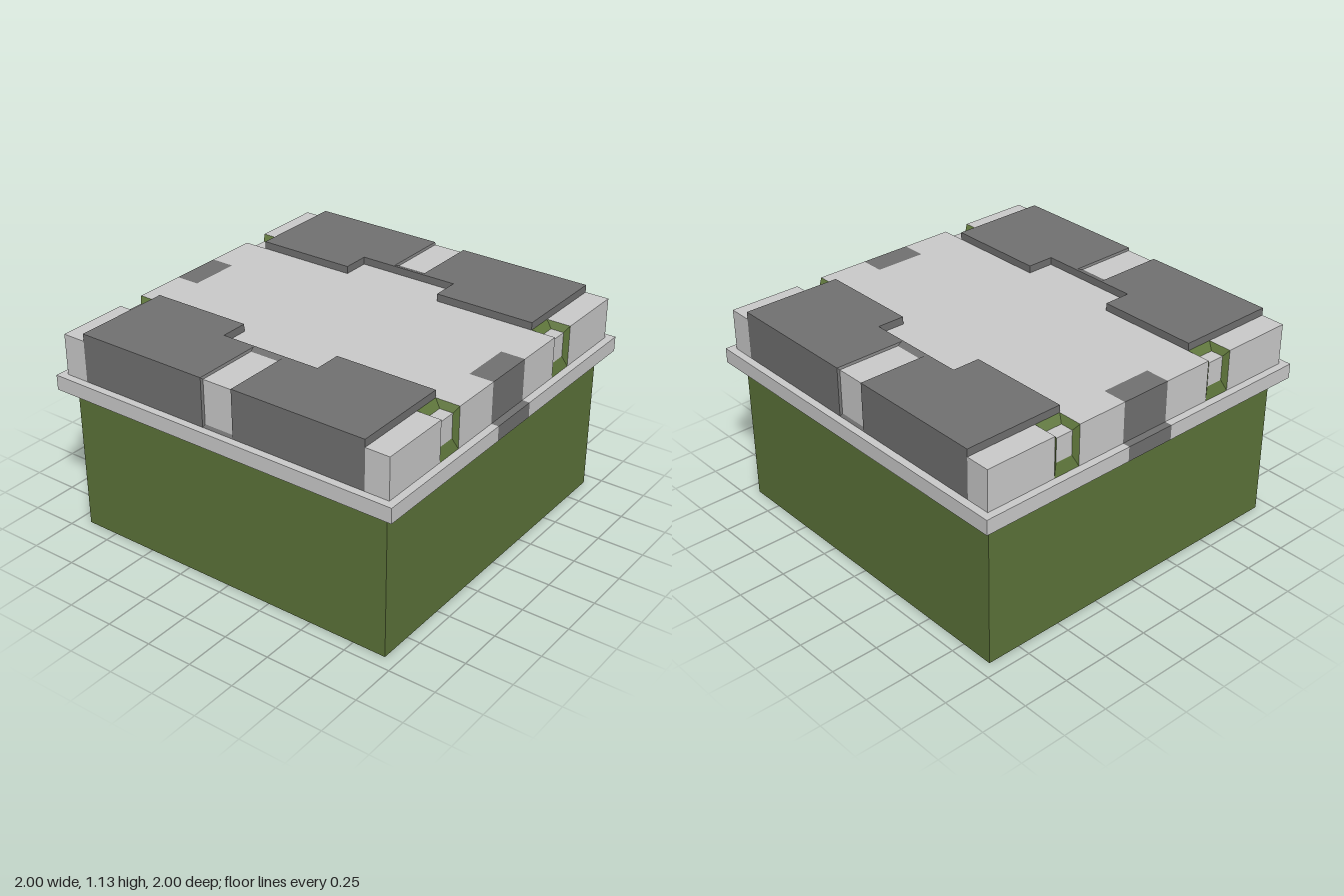
import * as THREE from 'three';

const grey = new THREE.MeshStandardMaterial({ color: 0xcccccc });
const dark = new THREE.MeshStandardMaterial({ color: 0x727272 });
const green = new THREE.MeshStandardMaterial({ color: 0x5d743a });

// Levels
const RIM_Y = 0.79, BLOCK_Y = 0.87, TOP_Y = 1.09, PAD_Y = 1.13;

function add(parent, name, geometry, material) {
  const mesh = new THREE.Mesh(geometry, material);
  mesh.name = name;
  parent.add(mesh);
  return mesh;
}

// Box given by its limits
function box(x0, x1, y0, y1, z0, z1) {
  return new THREE.BoxGeometry(x1 - x0, y1 - y0, z1 - z0)
    .translate((x0 + x1) / 2, (y0 + y1) / 2, (z0 + z1) / 2);
}

// Vertical prism over a plan outline of [x, z] points
function prism(points, y0, y1) {
  const shape = new THREE.Shape(points.map(([x, z]) => new THREE.Vector2(x, -z)));
  return new THREE.ExtrudeGeometry(shape, { depth: y1 - y0, bevelEnabled: false })
    .rotateX(-Math.PI / 2).translate(0, y0, 0);
}

// Repeat one quadrant of an outline around both axes
function mirrorQuadrant(q) {
  const half = [...q, ...q.map(([x, z]) => [x, -z]).reverse()];
  return [...half, ...half.map(([x, z]) => [-x, z]).reverse()];
}

function quads(list) {
  const pos = [];
  for (const [a, b, c, d] of list) pos.push(...a, ...b, ...c, ...a, ...c, ...d);
  const g = new THREE.BufferGeometry();
  g.setAttribute('position', new THREE.Float32BufferAttribute(pos, 3));
  g.computeVertexNormals();
  return g;
}

// Recess wrapping over a top edge: sloped frame around an L-shaped panel.
// Profiles are [y, z] points running from the back, over the edge, to the bottom.
function wrappedRecess(name, outer, outerHalf, inner, innerHalf, frameMaterial) {
  const at = (profile, x) => profile.map(([y, z]) => [x, y, z]);
  const oL = at(outer, -outerHalf), oR = at(outer, outerHalf);
  const iL = at(inner, -innerHalf), iR = at(inner, innerHalf);
  const panel = [];
  const frame = [[iL[0], iR[0], oR[0], oL[0]], [oL[2], oR[2], iR[2], iL[2]]];
  for (let i = 0; i < 2; i++) {
    panel.push([iL[i + 1], iR[i + 1], iR[i], iL[i]]);
    frame.push([iR[i + 1], oR[i + 1], oR[i], iR[i]]);
    frame.push([oL[i + 1], iL[i + 1], iL[i], oL[i]]);
  }
  const group = new THREE.Group();
  group.name = name;
  add(group, name + 'Frame', quads(frame), frameMaterial);
  add(group, name + 'Panel', quads(panel), grey);
  return group;
}

export function createModel() {
  const model = new THREE.Group();
  model.name = 'crate';

  // Body and lid, with gaps for the dark bands
  add(model, 'body', box(-0.93, 0.93, 0, RIM_Y, -0.93, 0.93), green);
  add(model, 'rim', prism(mirrorQuadrant([[0.14, 0.83], [0.14, 1], [1, 1]]), RIM_Y, BLOCK_Y), grey);
  add(model, 'lidCentre', prism(mirrorQuadrant(
    [[0.14, 0.83], [0.14, 0.96], [0.42, 0.96], [0.42, 0.28], [0.57, 0.28]]), BLOCK_Y, TOP_Y), grey);

  // Dark band, lid corners and latches at the front and the back
  for (const turn of [0, Math.PI]) {
    const end = new THREE.Group();
    end.name = turn ? 'backEnd' : 'frontEnd';
    end.rotation.y = turn;
    model.add(end);
    add(end, 'rimBand', box(-0.14, 0.14, RIM_Y, BLOCK_Y, 0.83, 1), dark);
    add(end, 'lidBand', box(-0.14, 0.14, BLOCK_Y, TOP_Y, 0.83, 0.96), dark);
    for (const s of [-1, 1]) {
      const [x0, x1] = s > 0 ? [0.57, 0.96] : [-0.96, -0.57];
      add(end, 'lidCorner', box(x0, x1, BLOCK_Y, TOP_Y, 0.83, 0.96), grey);
      const latch = wrappedRecess('latch',
        [[TOP_Y, 0.83], [TOP_Y, 0.96], [BLOCK_Y, 0.96]], 0.075,
        [[1.06, 0.87], [1.06, 0.94], [0.93, 0.94]], 0.048, green);
      latch.position.x = s * 0.495;
      end.add(latch);
    }
  }

  // Raised side pads, each with a shallow recessed strip
  for (const s of [-1, 1]) {
    const side = new THREE.Group();
    side.name = s > 0 ? 'leftSide' : 'rightSide';
    side.rotation.y = s > 0 ? 0 : Math.PI;
    model.add(side);
    const half = [[0.57, 0.28], [0.42, 0.28], [0.42, 0.83], [0.96, 0.83], [0.96, 0.09], [0.58, 0.09]];
    const outline = [...half, ...half.map(([x, z]) => [x, -z]).reverse()];
    add(side, 'sidePad', prism(outline, BLOCK_Y, PAD_Y), dark);
    const strip = wrappedRecess('sideStrip',
      [[PAD_Y, 0.58], [PAD_Y, 0.96], [BLOCK_Y, 0.96]], 0.09,
      [[1.12, 0.61], [1.12, 0.95], [0.885, 0.95]], 0.082, dark);
    strip.rotation.y = Math.PI / 2;
    side.add(strip);
  }

  return model;
}
